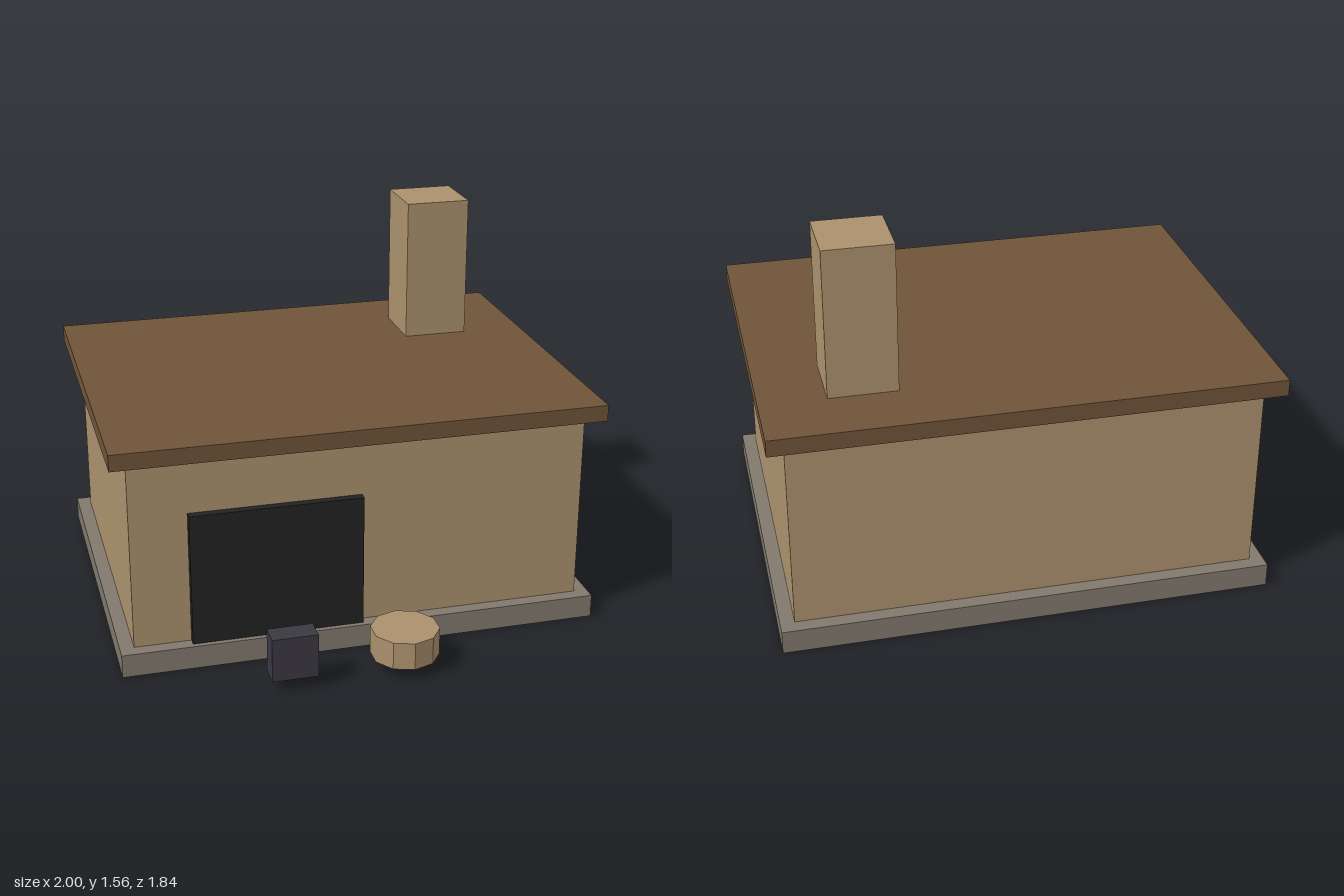
import * as THREE from 'three';

export function createModel() {
  const group = new THREE.Group();
  const mat = (name, color) => {
    const m = new THREE.MeshStandardMaterial({ color, flatShading: true });
    m.name = name;
    return m;
  };
  const plaster = mat('tan plaster', 0xab916d);
  const roofWood = mat('brown roof', 0x6f5438);
  const stone = mat('grey stone', 0x81786d);
  const soot = mat('black opening', 0x222222);
  const iron = mat('dark iron', 0x3b3941);

  const add = (name, geometry, material, x, y, z) => {
    const mesh = new THREE.Mesh(geometry, material);
    mesh.name = name;
    mesh.position.set(x, y, z);
    group.add(mesh);
  };
  // Box given by its extents on each axis
  const box = (name, material, [x0, x1], [y0, y1], [z0, z1]) =>
    add(name, new THREE.BoxGeometry(x1 - x0, y1 - y0, z1 - z0), material,
      (x0 + x1) / 2, (y0 + y1) / 2, (z0 + z1) / 2);

  // Building
  box('foundation', stone, [-0.987, 0.987], [0, 0.097], [-0.907, 0.605]);
  box('walls', plaster, [-0.93, 0.93], [0.097, 0.888], [-0.85, 0.55]);
  box('roof', roofWood, [-1, 1], [0.888, 0.956], [-0.918, 0.617]);
  box('chimney', plaster, [0.465, 0.739], [0.956, 1.56], [-0.662, -0.388]);
  box('forgeOpening', soot, [-0.7, 0], [0.097, 0.653], [0.55, 0.584]);

  // Yard objects in front
  box('anvil', iron, [-0.444, -0.26], [0.051, 0.234], [0.778, 0.87]);
  add('choppingBlock', new THREE.CylinderGeometry(0.138, 0.138, 0.115, 10), plaster,
    0.115, 0.108, 0.78);

  return group;
}
